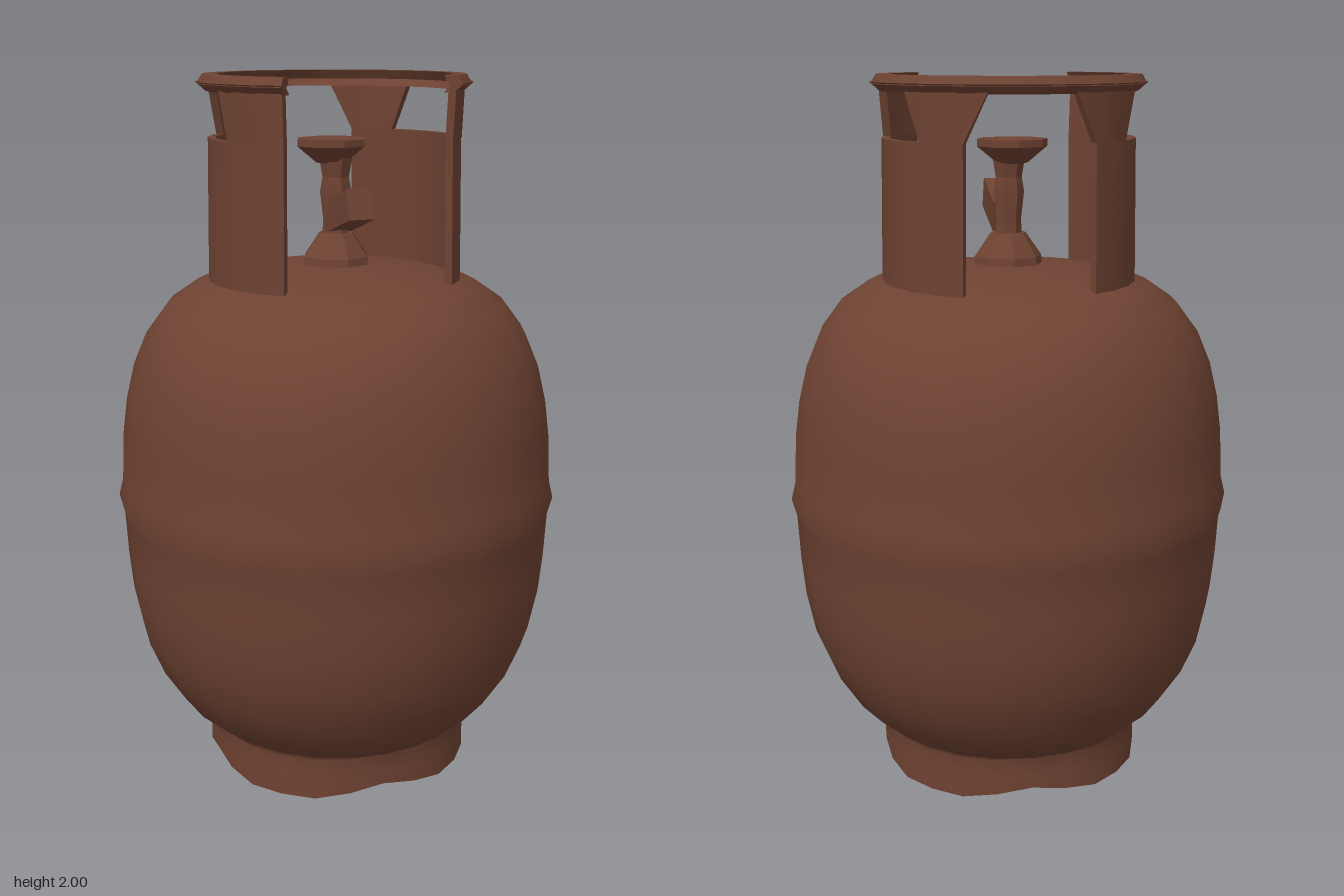
import * as THREE from 'three';
import { toCreasedNormals } from 'three/addons/utils/BufferGeometryUtils.js';

const paint = new THREE.MeshStandardMaterial({ name: 'brownPaint', color: 0x6e4232 });
const rad = THREE.MathUtils.degToRad;

function add(parent, name, geometry, x = 0, y = 0, z = 0) {
  const mesh = new THREE.Mesh(geometry, paint);
  mesh.name = name;
  mesh.position.set(x, y, z);
  parent.add(mesh);
  return mesh;
}

// Smooth lathe from [radius, height] pairs, listed from bottom to top
function lathe(points, sides, crease = 0.7) {
  const profile = points.map(([r, y]) => new THREE.Vector2(r, y));
  return toCreasedNormals(new THREE.LatheGeometry(profile, sides), crease);
}

// Curved slab: bottom and top each give { y, r, a0, a1 }, angles in degrees from +z towards +x
function curvedSlab(bottom, top, thickness, steps) {
  const corner = (edge, inset, t) => {
    const a = rad(THREE.MathUtils.lerp(edge.a0, edge.a1, t));
    const r = edge.r - inset;
    return [r * Math.sin(a), edge.y, r * Math.cos(a)];
  };
  const sections = [];
  for (let i = 0; i <= steps; i++) {
    const t = i / steps;
    sections.push([corner(bottom, 0, t), corner(top, 0, t),
      corner(top, thickness, t), corner(bottom, thickness, t)]);
  }
  const positions = [];
  const quad = (a, b, c, d) => positions.push(...a, ...b, ...c, ...a, ...c, ...d);
  for (let i = 0; i < steps; i++) {
    const s = sections[i], e = sections[i + 1];
    for (let k = 0; k < 4; k++) {
      const n = (k + 1) % 4;
      quad(s[k], e[k], e[n], s[n]);
    }
  }
  quad(...sections[0]);
  quad(...sections[steps].slice().reverse());
  const geometry = new THREE.BufferGeometry();
  geometry.setAttribute('position', new THREE.Float32BufferAttribute(positions, 3));
  return toCreasedNormals(geometry, 0.6);
}

function createTank() {
  return lathe([
    [0, 0.12], [0.3, 0.12], [0.39, 0.13], [0.47, 0.2], [0.535, 0.3], [0.577, 0.4], [0.602, 0.52],
    [0.613, 0.63], [0.62, 0.76], [0.634, 0.81], [0.622, 0.86], [0.615, 1.0], [0.602, 1.1],
    [0.578, 1.2], [0.54, 1.29], [0.48, 1.37], [0.4, 1.425], [0.3, 1.455], [0.15, 1.477], [0, 1.482],
  ], 24);
}

// Foot ring whose lower edge lifts slightly on the four sides
function createFoot() {
  const geometry = new THREE.LatheGeometry([
    [0.365, 0.14], [0.365, 0], [0.388, 0], [0.388, 0.07], [0.385, 0.12], [0.405, 0.155],
  ].map(([r, y]) => new THREE.Vector2(r, y)), 24);
  const p = geometry.attributes.position;
  for (let i = 0; i < p.count; i++) {
    const lift = Math.max(0, Math.cos(4 * Math.atan2(p.getX(i), p.getZ(i))));
    if (p.getY(i) < 0.01) p.setY(i, 0.03 * lift);
    const pinch = 1 - 0.03 * lift;
    p.setX(i, p.getX(i) * pinch);
    p.setZ(i, p.getZ(i) * pinch);
  }
  return toCreasedNormals(geometry, 0.6);
}

function createCollar() {
  const collar = new THREE.Group();
  collar.name = 'collar';
  collar.position.z = -0.01;
  const thick = 0.022;
  const pieces = [
    ['Panel', [1.4, 0.358, 43, 150], [1.83, 0.352, 43, 150], 8],
    ['FrontPost', [1.83, 0.352, 43, 75], [1.96, 0.358, 43, 80], 3],
    ['RearPost', [1.83, 0.352, 128, 150], [1.96, 0.358, 120, 161], 3],
  ];
  const edge = ([y, r, a0, a1], mirrored) =>
    mirrored ? { y, r, a0: 360 - a1, a1: 360 - a0 } : { y, r, a0, a1 };
  for (const [side, mirrored] of [['left', false], ['right', true]]) {
    for (const [name, low, high, steps] of pieces) {
      add(collar, side + name, curvedSlab(edge(low, mirrored), edge(high, mirrored), thick, steps));
    }
  }
  // Flared rim joining both panels round the back
  const rim = (y, r) => ({ y, r, a0: 42, a1: 318 });
  add(collar, 'rimLower', curvedSlab(rim(1.955, 0.355), rim(1.98, 0.383), 0.03, 18));
  add(collar, 'rimUpper', curvedSlab(rim(1.975, 0.38), rim(2.0, 0.365), 0.04, 18));
  return collar;
}

function createValve() {
  const valve = new THREE.Group();
  valve.name = 'valve';
  add(valve, 'valveBase', lathe([[0.1, 1.46], [0.095, 1.5], [0.05, 1.565], [0, 1.565]], 8, 0.3));
  add(valve, 'valveStem', lathe([
    [0.04, 1.55], [0.036, 1.6], [0.045, 1.68], [0.038, 1.72], [0.048, 1.78],
  ], 7, 0.3));
  add(valve, 'handwheel', lathe([
    [0, 1.75], [0.045, 1.76], [0.1, 1.805], [0.1, 1.825], [0, 1.825],
  ], 8, 0.3), -0.01, 0, -0.01);
  const outlet = add(valve, 'outlet', new THREE.BoxGeometry(0.075, 0.085, 0.18), 0.005, 1.635, 0.085);
  outlet.rotation.x = -0.3;
  return valve;
}

export function createModel() {
  const model = new THREE.Group();
  model.name = 'gasCylinder';
  add(model, 'tank', createTank());
  add(model, 'footRing', createFoot());
  model.add(createCollar(), createValve());
  return model;
}
